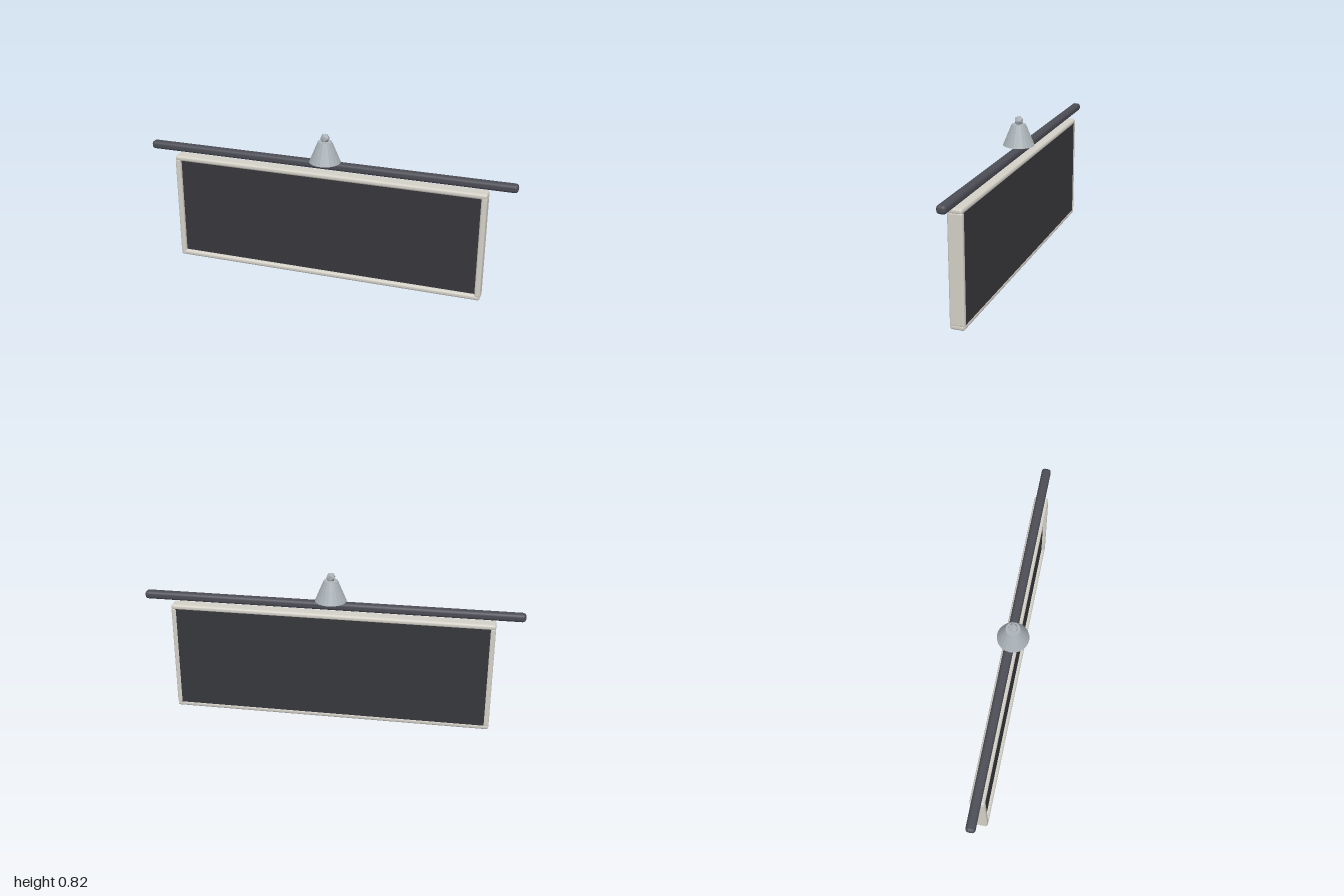
import * as THREE from 'three';
import { RoundedBoxGeometry } from 'three/addons/geometries/RoundedBoxGeometry.js';

const material = (color, flatShading = false) => new THREE.MeshStandardMaterial({ color, flatShading });

export function createModel() {
  const group = new THREE.Group();
  const ivory = material(0xd2cfc6);
  const slate = material(0x36373b);
  const darkMetal = material(0x4b4c54);
  const steel = material(0xaab2b7, true);

  const add = (name, geometry, mat, x, y, z) => {
    const mesh = new THREE.Mesh(geometry, mat);
    mesh.name = name;
    mesh.position.set(x, y, z);
    group.add(mesh);
    return mesh;
  };

  const depthCentre = -0.01;
  const depth = 0.076;
  const bar = 0.03;

  // Board: recessed at the front, almost flush at the back
  add('boardPanel', new THREE.BoxGeometry(1.68, 0.575, 0.056), slate, 0, 0.303, -0.018);

  // Frame rails run the full width, with posts between them
  for (const [name, y] of [['bottomRail', 0.017], ['topRail', 0.59]]) {
    add(name, new RoundedBoxGeometry(1.71, bar, depth, 3, 0.013), ivory, 0, y, depthCentre);
  }
  for (const [name, side] of [['leftPost', 1], ['rightPost', -1]]) {
    add(name, new RoundedBoxGeometry(bar, 0.564, depth, 3, 0.01), ivory, side * 0.84, 0.303, depthCentre);
  }

  // Rounded rod floating above the board
  add('hangingRod', new RoundedBoxGeometry(2, 0.043, 0.049, 3, 0.017), darkMetal, 0, 0.645, -0.011);

  // Faceted cone cap with a small finial
  add('coneCap', new THREE.CylinderGeometry(0.037, 0.083, 0.111, 20), steel, 0, 0.7225, 0);
  add('finial', new THREE.IcosahedronGeometry(0.026, 0), steel, 0, 0.797, 0);

  return group;
}
